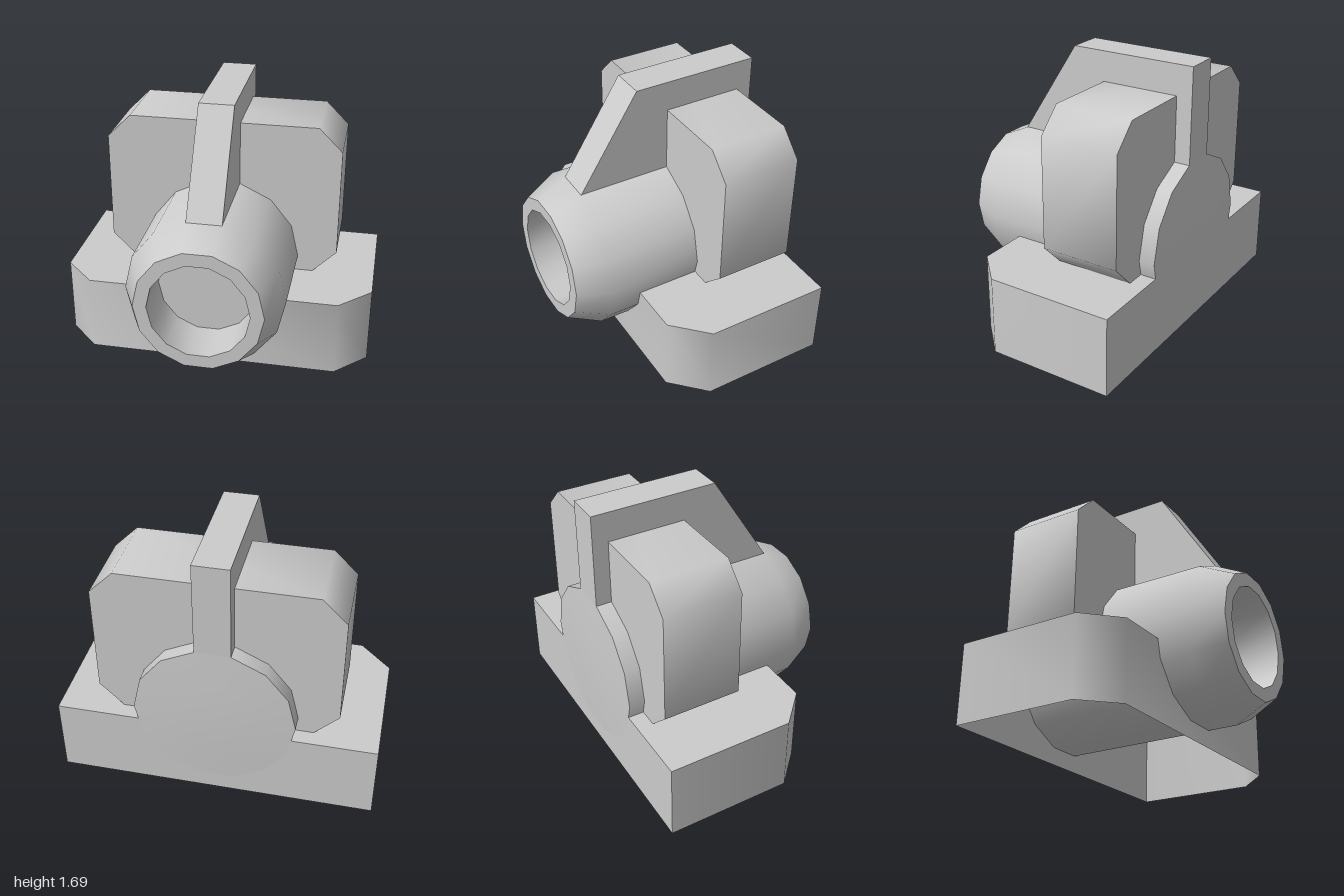
import * as THREE from 'three';
import { toCreasedNormals } from 'three/addons/utils/BufferGeometryUtils.js';

const CREASE = 0.9; // 45 degree chamfers shade softly, sharper corners stay hard
const material = new THREE.MeshStandardMaterial({ color: 0xcccccc, side: THREE.DoubleSide });

function part(name, geometry) {
  const mesh = new THREE.Mesh(toCreasedNormals(geometry, CREASE), material);
  mesh.name = name;
  return mesh;
}

function prism(points, depth) {
  const shape = new THREE.Shape(points.map(([x, y]) => new THREE.Vector2(x, y)));
  return new THREE.ExtrudeGeometry(shape, { depth, bevelEnabled: false });
}

// Keeps every triangle except those lying on the ground
function openBottom(geometry) {
  const source = geometry.index ? geometry.toNonIndexed() : geometry;
  const p = source.attributes.position;
  const kept = [];
  for (let i = 0; i < p.count; i += 3) {
    const corners = [i, i + 1, i + 2];
    if (corners.every((c) => p.getY(c) < 1e-4)) continue;
    for (const c of corners) kept.push(p.getX(c), p.getY(c), p.getZ(c));
  }
  const result = new THREE.BufferGeometry();
  result.setAttribute('position', new THREE.Float32BufferAttribute(kept, 3));
  return result;
}

export function createModel() {
  const group = new THREE.Group();
  group.name = 'bearingBlock';

  // Hollow base, open underneath, with chamfered front corners
  const base = prism([[-1, 0.69], [-1, -0.11], [-0.8, -0.31], [0.8, -0.31], [1, -0.11], [1, 0.69]], 0.5);
  base.rotateX(-Math.PI / 2);
  group.add(part('base', openBottom(base)));

  // Fourteen-sided barrel: slightly domed back, tapered nose, blind bore
  const profile = [
    [0, -0.705], [0.25, -0.701], [0.5, -0.69], [0.5, 0.5],
    [0.4, 0.705], [0.315, 0.705], [0.315, 0.4], [0, 0.4],
  ].map(([r, z]) => new THREE.Vector2(r, z));
  const barrel = new THREE.LatheGeometry(profile, 14, Math.PI / 2);
  barrel.rotateX(Math.PI / 2);
  barrel.translate(0, 0.6, 0);
  group.add(part('barrel', barrel));

  // Chamfered collar block around the barrel
  const collar = prism([
    [-0.6, 0.5], [0.6, 0.5], [0.75, 0.65], [0.75, 1.35],
    [0.6, 1.5], [-0.6, 1.5], [-0.75, 1.35], [-0.75, 0.65],
  ], 0.5);
  collar.translate(0, 0, -0.59);
  group.add(part('collar', collar));

  // Upright rib with a sloping front, profile drawn in z and y
  const rib = prism([[-0.69, 1.05], [-0.69, 1.69], [0.12, 1.69], [0.505, 1.085], [0.48, 1.05]], 0.22);
  rib.rotateY(-Math.PI / 2);
  rib.translate(0.11, 0, 0);
  group.add(part('rib', rib));

  return group;
}
